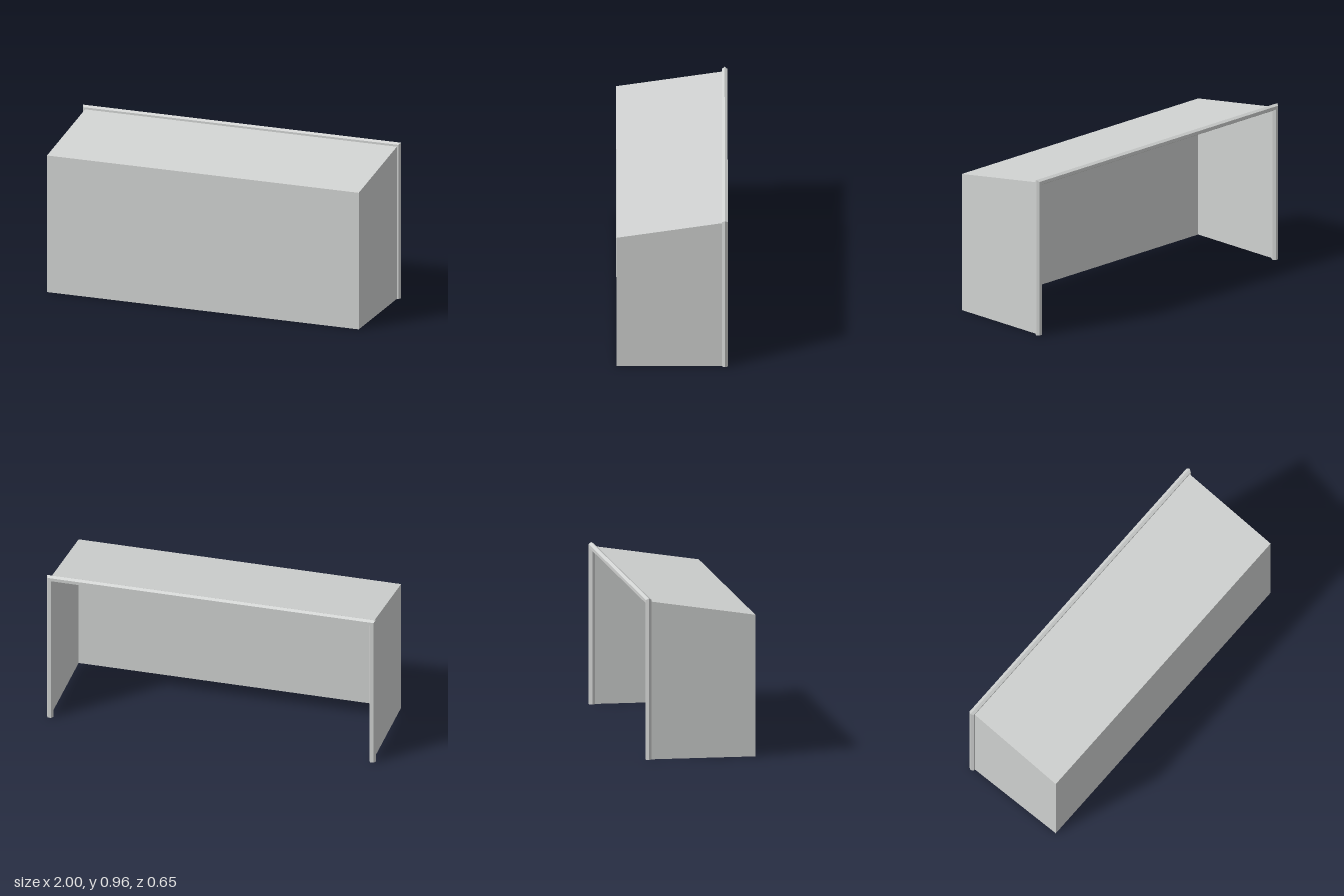
import * as THREE from 'three';

const C = 0.9805;            // half width of the panels, on the frame's centre line
const R = 0.0195;            // radius of the hexagonal frame bar
const ZF = 0.327, ZB = -0.31; // front and back depth
const HF = 0.843, HB = 0.9415; // front and back height

// Flat-shaded geometry from polygons, each listed counter-clockwise from outside
function fromPolygons(polygons) {
  const pos = [];
  for (const p of polygons)
    for (let i = 1; i < p.length - 1; i++) pos.push(...p[0], ...p[i], ...p[i + 1]);
  const g = new THREE.BufferGeometry();
  g.setAttribute('position', new THREE.Float32BufferAttribute(pos, 3));
  g.computeVertexNormals();
  return g;
}

// Hexagonal bar swept up, across and down with mitred corners
function frameGeometry() {
  const stations = [[-1, 0], [-1, 1], [1, 1], [1, 0]]; // side, bottom or top
  const rings = stations.map(([side, top]) =>
    Array.from({ length: 6 }, (_, k) => {
      const a = (k * Math.PI) / 3;
      const out = R * Math.cos(a);
      return [side * (C + out), top * (HB + out), ZB + R * Math.sin(a)];
    }));
  const faces = [[...rings[0]].reverse(), rings[3]]; // feet
  for (let s = 0; s < 3; s++)
    for (let k = 0; k < 6; k++) {
      const n = (k + 1) % 6;
      faces.push([rings[s][k], rings[s][n], rings[s + 1][n], rings[s + 1][k]]);
    }
  return fromPolygons(faces);
}

export function createModel() {
  const group = new THREE.Group();
  const grey = new THREE.MeshStandardMaterial({ color: 0xd0d2d1, side: THREE.DoubleSide });
  grey.name = 'light grey';

  const add = (name, geometry) => {
    const mesh = new THREE.Mesh(geometry, grey);
    mesh.name = name;
    group.add(mesh);
  };

  // Thin shell, open at the back and the bottom
  const side = (x) => [[x, 0, ZF], [x, 0, ZB], [x, HB, ZB], [x, HF, ZF]];
  add('frontPanel', fromPolygons([[[-C, 0, ZF], [C, 0, ZF], [C, HF, ZF], [-C, HF, ZF]]]));
  add('slopingRoof', fromPolygons([[[-C, HF, ZF], [C, HF, ZF], [C, HB, ZB], [-C, HB, ZB]]]));
  add('leftPanel', fromPolygons([side(C)]));
  add('rightPanel', fromPolygons([side(-C).reverse()]));

  // Frame around the open back
  add('backFrame', frameGeometry());
  return group;
}
